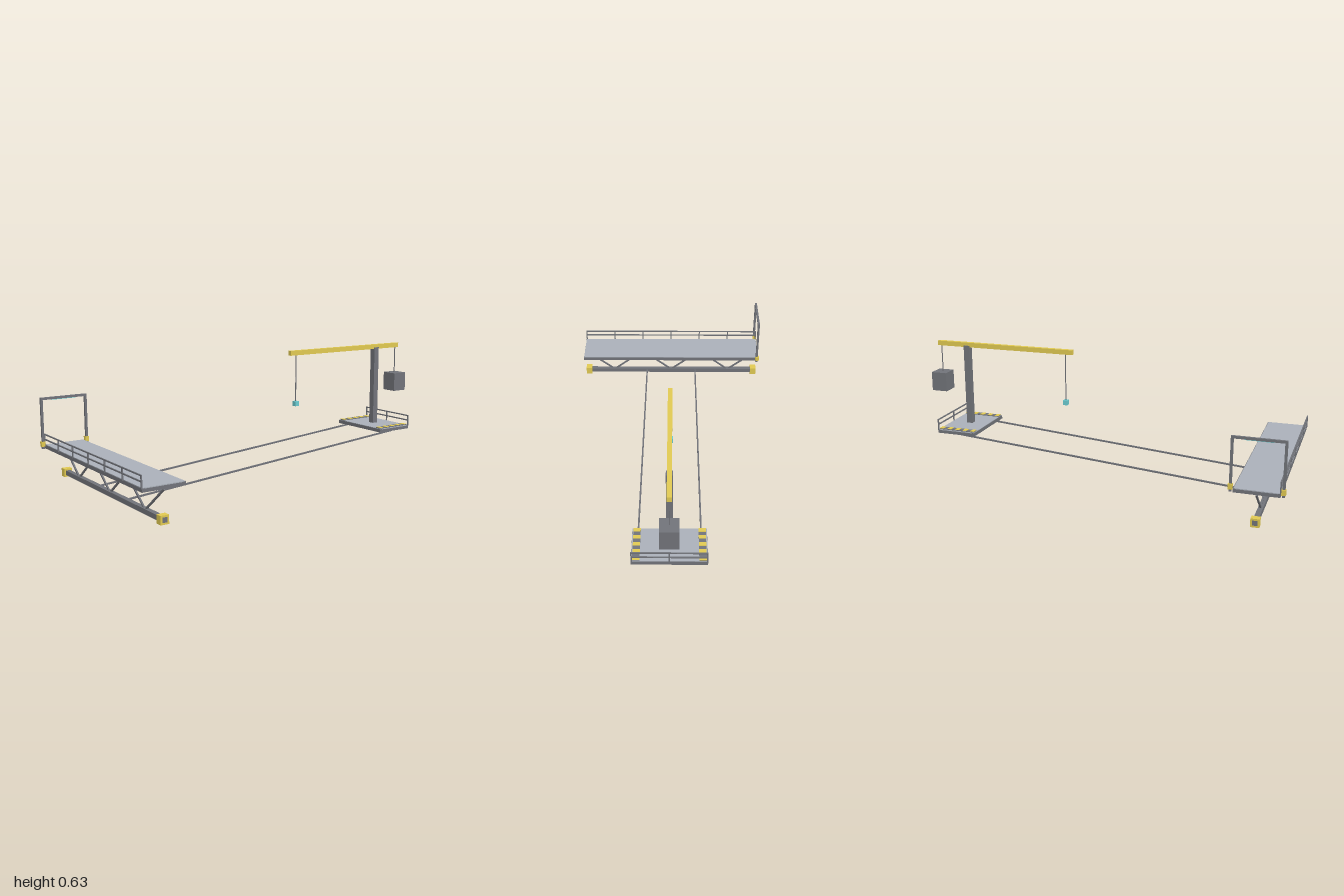
import * as THREE from 'three';

const mat = (name, color) => {
  const m = new THREE.MeshStandardMaterial({ color });
  m.name = name;
  return m;
};

export function createModel() {
  const model = new THREE.Group();
  model.name = 'craneRig';
  const steel = mat('steel grey', 0x717379);
  const plate = mat('deck grey', 0xaab0b9);
  const yellow = mat('safety yellow', 0xe0c952);
  const teal = mat('teal', 0x6ccbd0);

  const group = (name) => {
    const g = new THREE.Group();
    g.name = name;
    model.add(g);
    return g;
  };
  const box = (parent, name, m, w, h, d, x, y, z) => {
    const mesh = new THREE.Mesh(new THREE.BoxGeometry(w, h, d), m);
    mesh.name = name;
    mesh.position.set(x, y, z);
    parent.add(mesh);
    return mesh;
  };
  // Square bar between two points
  const bar = (parent, name, m, t, a, b) => {
    const from = new THREE.Vector3(...a), to = new THREE.Vector3(...b);
    const mid = from.clone().add(to).multiplyScalar(0.5);
    const mesh = box(parent, name, m, t, t, from.distanceTo(to), mid.x, mid.y, mid.z);
    mesh.lookAt(to);
    return mesh;
  };

  // Deck plate with edge beams and cross ribs underneath
  const deck = (parent, x, width, length, ribs) => {
    box(parent, 'deckPlate', plate, width - 0.006, 0.006, length - 0.002, x, 0.174, 0);
    for (const s of [-1, 1]) {
      box(parent, 'edgeBeam', steel, 0.012, 0.018, length, x + s * (width / 2 - 0.006), 0.166, 0);
    }
    for (let i = 0; i <= ribs; i++) {
      const z = (i / ribs - 0.5) * (length - 0.012);
      box(parent, 'crossRib', steel, width - 0.024, 0.016, 0.012, x, 0.165, z);
    }
  };

  // Guard rail along z: posts, mid rail and top rail
  const guardRail = (parent, x, length, bays) => {
    for (const y of [0.204, 0.23]) {
      box(parent, 'rail', steel, 0.006, 0.006, length, x, y, 0);
    }
    for (let i = 0; i <= bays; i++) {
      const z = (i / bays - 0.5) * (length - 0.006);
      box(parent, 'railPost', steel, 0.006, 0.062, 0.006, x, 0.202, z);
    }
  };

  // Long gangway
  const gangway = group('gangway');
  const gx = -0.871;
  deck(gangway, gx, 0.212, 1.048, 6);
  guardRail(gangway, -0.977, 1.048, 6);

  // Lower chord, yellow end blocks and zigzag truss
  const truss = group('truss');
  box(truss, 'lowerChord', steel, 0.024, 0.024, 1.047, gx, 0.021, 0);
  for (const s of [-1, 1]) {
    box(truss, 'endBlock', yellow, 0.042, 0.042, 0.034, gx, 0.021, s * 0.506);
  }
  for (let i = 0; i < 6; i++) {
    const y = (k) => (k % 2 ? 0.024 : 0.156);
    const z = (k) => 0.522 - k * 0.174;
    bar(truss, 'diagonal', steel, 0.008, [gx, y(i), z(i)], [gx, y(i + 1), z(i + 1)]);
  }

  // Portal frame at the back end of the gangway
  const portal = group('portalFrame');
  for (const x of [-0.99, -0.752]) {
    box(portal, 'portalPost', steel, 0.012, 0.262, 0.012, x, 0.288, -0.513);
    box(portal, 'portalJoint', yellow, 0.02, 0.026, 0.02, x, 0.182, -0.516);
  }
  box(portal, 'portalBeam', steel, 0.25, 0.012, 0.012, -0.871, 0.414, -0.513);
  box(portal, 'lightStrip', teal, 0.13, 0.004, 0.006, -0.871, 0.407, -0.513);

  // Two tie bars joining the truss to the platform
  const ties = group('tieBars');
  for (const z of [-0.148, 0.148]) {
    bar(ties, 'tieBar', steel, 0.008, [gx, 0.021, z], [0.797, 0.153, z]);
  }

  // Small platform with hazard strips: grey kerbs carrying yellow plates
  const platform = group('platform');
  const px = 0.797;
  deck(platform, px, 0.214, 0.35, 3);
  guardRail(platform, 0.903, 0.35, 2);
  for (const z of [-0.152, 0.152]) {
    box(platform, 'kerb', steel, 0.204, 0.004, 0.034, px, 0.179, z);
    for (let i = -2; i <= 2; i++) {
      box(platform, 'hazardStripe', yellow, 0.0226, 0.0015, 0.034, px + i * 0.0452, 0.1817, z);
    }
  }

  // Crane: mast, boom, hook and counterweight
  const crane = group('crane');
  box(crane, 'mast', steel, 0.032, 0.435, 0.032, px, 0.3935, 0);
  box(crane, 'boom', yellow, 0.78, 0.025, 0.022, 0.58, 0.615, 0);
  box(crane, 'hookCable', steel, 0.004, 0.25, 0.004, 0.231, 0.478, 0);
  box(crane, 'hookBlock', teal, 0.024, 0.026, 0.026, 0.231, 0.342, 0);
  box(crane, 'counterweightCable', steel, 0.004, 0.155, 0.004, 0.954, 0.526, 0);
  box(crane, 'counterweight', steel, 0.086, 0.102, 0.088, 0.957, 0.405, 0);

  return model;
}
